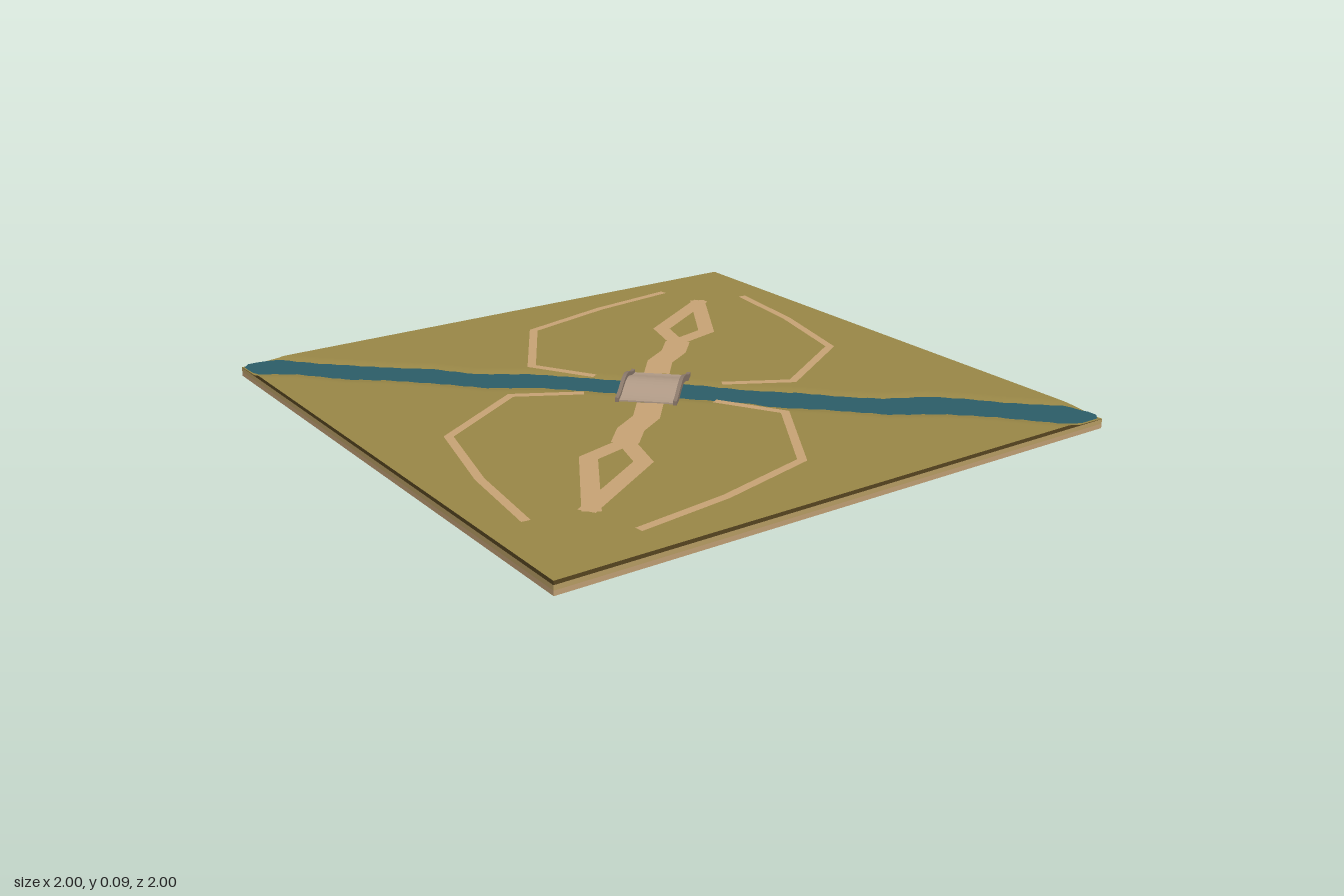
import * as THREE from 'three';

const mat = (name, color) => Object.assign(new THREE.MeshStandardMaterial({ color }), { name });
const R = Math.SQRT1_2;
const TOP = 0.042;

// River edges: distance along the diagonal, then offset of each bank from it
const bankA = [[-1.4, -0.02], [-1.335, -0.078], [-1.2, -0.055], [-1.01, -0.075], [-0.88, -0.06], [-0.7, -0.064],
  [-0.54, -0.076], [-0.37, -0.045], [-0.13, -0.052], [0.1, -0.064], [0.3, -0.068], [0.4, -0.093], [0.57, -0.087],
  [0.76, -0.096], [0.93, -0.062], [1.08, -0.06], [1.28, -0.08], [1.34, -0.074], [1.4, -0.02]];
const bankB = [[-1.4, 0.02], [-1.32, 0.078], [-1.17, 0.064], [-0.91, 0.064], [-0.77, 0.076], [-0.615, 0.052],
  [-0.42, 0.083], [-0.11, 0.07], [0.12, 0.072], [0.31, 0.048], [0.47, 0.054], [0.61, 0.042], [0.74, 0.048],
  [0.88, 0.092], [1.01, 0.09], [1.12, 0.077], [1.31, 0.08], [1.4, 0.02]];

function offsetAt(bank, s) {
  for (let i = 1; i < bank.length; i++) {
    const [s0, t0] = bank[i - 1], [s1, t1] = bank[i];
    if (s <= s1) return THREE.MathUtils.lerp(t0, t1, THREE.MathUtils.clamp((s - s0) / (s1 - s0), 0, 1));
  }
  return bank[bank.length - 1][1];
}

// Flat sheet facing up, from an outline in x and z
function sheet(name, outline, y, material) {
  const shape = new THREE.Shape(outline.map(([x, z]) => new THREE.Vector2(x, -z)));
  const geo = new THREE.ShapeGeometry(shape);
  geo.rotateX(-Math.PI / 2).translate(0, y, 0);
  const mesh = new THREE.Mesh(geo, material);
  mesh.name = name;
  return mesh;
}

// Outline of a path of constant width, mitred at its bends
function strip(points, width) {
  const p = points.map(([x, z]) => new THREE.Vector2(x, z));
  const left = [], right = [];
  p.forEach((q, i) => {
    const a = p[Math.max(i - 1, 0)], b = p[Math.min(i + 1, p.length - 1)];
    const d0 = (i ? q.clone().sub(a) : b.clone().sub(q)).normalize();
    const d1 = (i < p.length - 1 ? b.clone().sub(q) : q.clone().sub(a)).normalize();
    const n = new THREE.Vector2(-d0.y - d1.y, d0.x + d1.x).normalize();
    const k = width / 2 / (n.x * -d0.y + n.y * d0.x);
    left.push([q.x + n.x * k, q.y + n.y * k]);
    right.unshift([q.x - n.x * k, q.y - n.y * k]);
  });
  return [...left, ...right];
}

// Arched bar along x, centred on z
function arch(name, length, width, ends, crown, thick, material) {
  const shape = new THREE.Shape(), n = 16;
  const y = (f) => ends + (crown - ends) * 0.5 * (1 + Math.cos(f * Math.PI));
  for (let i = 0; i <= n; i++) {
    const f = (i / n) * 2 - 1;
    shape[i ? 'lineTo' : 'moveTo'](f * length / 2, y(f));
  }
  for (let i = n; i >= 0; i--) {
    const f = (i / n) * 2 - 1;
    shape.lineTo(f * length / 2, y(f) - thick);
  }
  const geo = new THREE.ExtrudeGeometry(shape, { depth: width, bevelEnabled: false });
  const mesh = new THREE.Mesh(geo.translate(0, 0, -width / 2), material);
  mesh.name = name;
  return mesh;
}

export function createModel() {
  const grass = mat('grass', 0x988646);
  const turfEdge = mat('turf edge', 0x54431f);
  const soil = mat('soil', 0xbc9c72);
  const clay = mat('clay', 0xb49a62);
  const water = mat('water', 0x2b5c67);
  const dirt = mat('dirt path', 0xc6a274);
  const stone = mat('bridge stone', 0xb09a86);
  const wood = mat('rail', 0x8a786a);
  const model = new THREE.Group();
  model.name = 'riverField';

  // Layers of earth
  [['soilLayer', soil, 0], ['clayLayer', clay, 0.015]].forEach(([name, material, y]) => {
    const layer = new THREE.Mesh(new THREE.BoxGeometry(2, 0.015, 2), material);
    layer.position.y = y + 0.0075;
    layer.name = name;
    model.add(layer);
  });

  // Grass with dark cut edges, sinking towards the river bed
  const geo = new THREE.BoxGeometry(2, TOP - 0.03, 2, 120, 1, 120);
  geo.translate(0, (TOP + 0.03) / 2, 0);
  const pos = geo.attributes.position;
  for (let i = 0; i < pos.count; i++) {
    if (pos.getY(i) < 0.035) continue;
    const x = pos.getX(i), z = pos.getZ(i), s = (x + z) * R, t = (x - z) * R;
    const out = Math.max(t - offsetAt(bankB, s), offsetAt(bankA, s) - t);
    pos.setY(i, THREE.MathUtils.lerp(0.031, TOP, THREE.MathUtils.smoothstep(out, -0.01, 0.03)));
  }
  geo.computeVertexNormals();
  const field = new THREE.Mesh(geo, [turfEdge, turfEdge, grass, soil, turfEdge, turfEdge]);
  field.name = 'grassField';
  model.add(field);

  // River with slightly uneven banks
  const outline = [], steps = 110;
  const clampEdge = (v) => THREE.MathUtils.clamp(v, -1, 1);
  [[bankA, 1], [bankB, -1]].forEach(([bank, dir]) => {
    for (let i = 0; i <= steps; i++) {
      const s = dir * (-1.4 + 2.8 * i / steps);
      const t = offsetAt(bank, s) - dir * 0.003 * Math.sin(i * 2.1);
      outline.push([clampEdge((s + t) * R), clampEdge((s - t) * R)]);
    }
  });
  model.add(sheet('river', outline, 0.037, water));

  // Paths, repeated on both sides of the river by half a turn
  const trails = [
    ['outerTrail', 0.028, [[-0.09, -0.21], [-0.21, -0.415], [0, -0.75], [0.34, -0.835], [0.66, -0.875]]],
    ['outerTrail', 0.028, [[0.21, 0.09], [0.415, 0.205], [0.75, 0], [0.835, -0.34], [0.875, -0.66]]],
    ['mainPath', 0.085, [[0.09, -0.11], [0.17, -0.205], [0.27, -0.265], [0.345, -0.345]]],
    ['pathBranch', 0.055, [[0.335, -0.33], [0.385, -0.5], [0.71, -0.7]]],
    ['pathBranch', 0.055, [[0.33, -0.34], [0.5, -0.385], [0.7, -0.71]]],
  ];
  [1, -1].forEach((side) => trails.forEach(([name, width, pts], i) => {
    const line = pts.map(([x, z]) => [side * x, side * z]);
    model.add(sheet(name, strip(line, width), TOP + 0.002 + i * 0.0003, dirt));
  }));

  // Arched bridge across the river
  const bridge = new THREE.Group();
  bridge.name = 'bridge';
  bridge.add(arch('deck', 0.27, 0.18, 0.047, 0.073, 0.012, stone));
  [1, -1].forEach((side) => {
    const rail = arch('rail', 0.285, 0.012, 0.056, 0.087, 0.022, wood);
    rail.position.z = side * 0.093;
    bridge.add(rail);
  });
  bridge.rotation.y = Math.PI / 4;
  model.add(bridge);
  return model;
}
